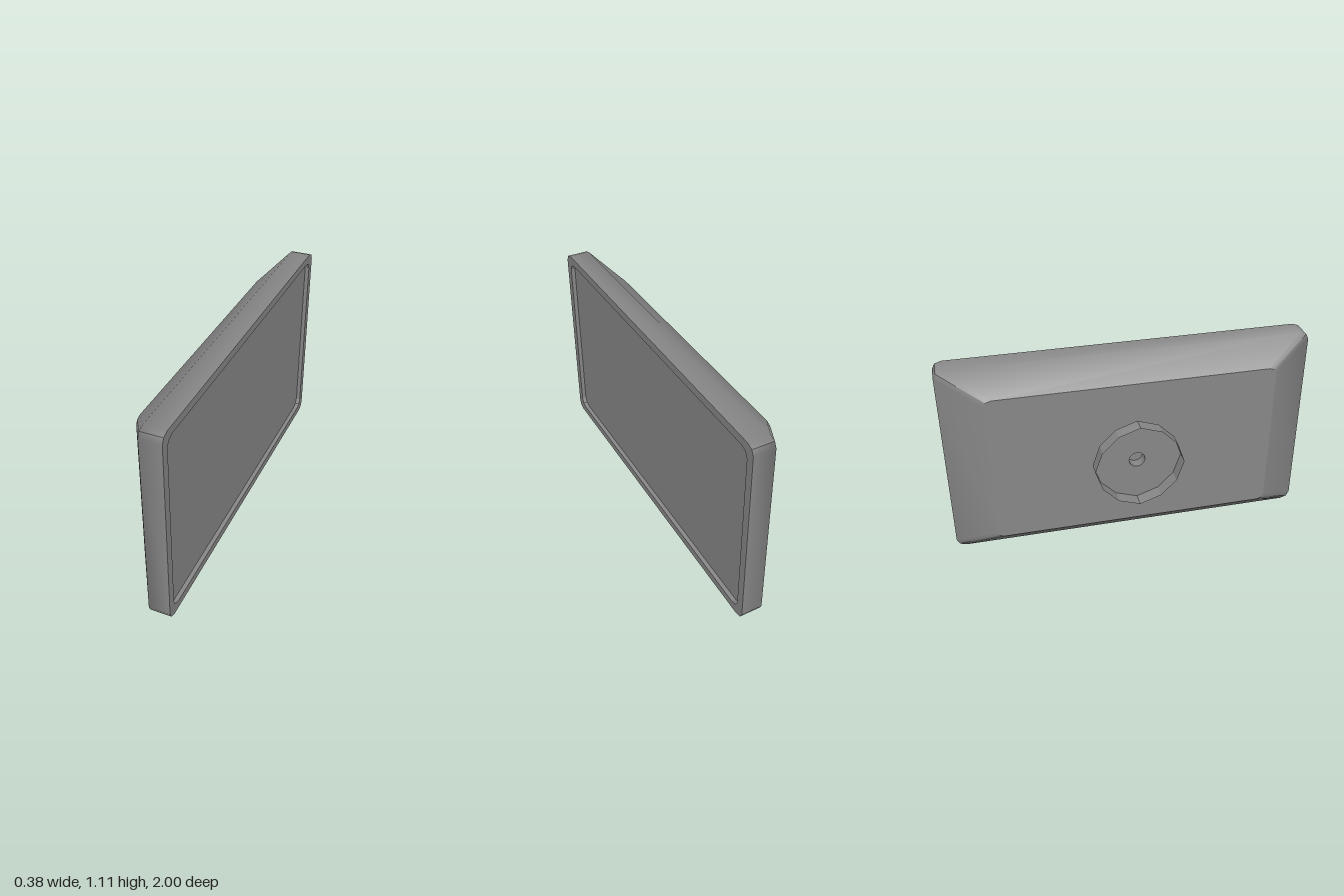
import * as THREE from 'three';

const CY = 0.555; // height of the centre line
const grey = (options = {}) => new THREE.MeshStandardMaterial({ color: 0x888888, ...options });

// Rounded rectangle in the z/y plane, counter-clockwise as seen from +x, three points per corner
function outline(halfZ, halfY, rz, ry) {
  const points = [];
  for (let c = 0; c < 4; c++) {
    const sz = c === 0 || c === 3 ? 1 : -1, sy = c < 2 ? 1 : -1;
    for (let k = 0; k < 3; k++) {
      const a = (c + k / 2) * Math.PI / 2;
      points.push([-(sz * (halfZ - rz) + rz * Math.cos(a)), sy * (halfY - ry) + ry * Math.sin(a)]);
    }
  }
  return points;
}

// Twelve-sided ring of the mount; every third corner may stand out further
function ring(axisRadius, radius) {
  return Array.from({ length: 12 }, (_, i) => {
    const a = i * Math.PI / 6, r = i % 3 ? radius : axisRadius;
    return [-r * Math.cos(a), 0.003 + r * Math.sin(a)];
  });
}

// Skin joining sections of the form { x, points, scale }
function loft(sections, closed = true) {
  const n = sections[0].points.length, positions = [], index = [];
  for (const { x, points, scale = 1 } of sections)
    for (const [z, y] of points) positions.push(x, CY + y * scale, z * scale);
  for (let s = 0; s < sections.length - 1; s++)
    for (let i = 0; i < (closed ? n : n - 1); i++) {
      const j = (i + 1) % n, a = s * n, b = a + n;
      index.push(a + i, a + j, b + j, a + i, b + j, b + i);
    }
  const geometry = new THREE.BufferGeometry();
  geometry.setAttribute('position', new THREE.Float32BufferAttribute(positions, 3));
  geometry.setIndex(index);
  geometry.computeVertexNormals();
  return geometry;
}

export function createModel() {
  const model = new THREE.Group();
  model.name = 'wallDisplay';
  const group = (name) => {
    const part = new THREE.Group();
    part.name = name;
    model.add(part);
    return part;
  };
  const add = (parent, name, geometry, material = grey()) => {
    const mesh = new THREE.Mesh(geometry, material);
    mesh.name = name;
    parent.add(mesh);
  };

  const outer = outline(1, 0.555, 0.05, 0.042);
  const inner = outline(0.954, 0.511, 0.05, 0.042);
  const back = -0.057, shoulder = 0.075, front = 0.19, glass = 0.167, taper = 0.775;

  // Housing: four smooth sides that meet in a crease at the middle of each corner
  const display = group('display');
  ['topSide', 'backSide', 'bottomSide', 'frontSide'].forEach((name, c) => {
    const points = [1, 2, 3, 4].map((k) => outer[(3 * c + k) % 12]);
    add(display, name, loft([
      { x: back, points, scale: taper },
      { x: shoulder, points },
      { x: front, points },
    ], false));
  });
  add(display, 'backPanel', loft([
    { x: back, points: outer, scale: 0 },
    { x: back, points: outer, scale: taper },
  ]));

  // Bezel, its inner step and the sunken screen
  add(display, 'bezel', loft([{ x: front, points: outer }, { x: front, points: inner }]));
  add(display, 'bezelStep', loft([{ x: front, points: inner }, { x: glass, points: inner }]),
    grey({ flatShading: true }));
  add(display, 'screen', loft([{ x: glass, points: inner }, { x: glass, points: inner, scale: 0 }]));

  // Wall mount: hollow rod and a faceted cup open to the back
  const mount = group('wallMount');
  const rod = ring(0.044, 0.044), cup = ring(0.242, 0.233);
  const cupBack = -0.19, cupFront = -0.114;
  const faceted = grey({ flatShading: true, side: THREE.DoubleSide });
  add(mount, 'mountRod', loft([{ x: cupFront, points: rod }, { x: back, points: rod }]),
    grey({ side: THREE.DoubleSide }));
  add(mount, 'mountCupWall', loft([{ x: cupBack, points: cup }, { x: cupFront, points: cup }]), faceted);
  add(mount, 'mountCupFloor', loft([{ x: cupFront, points: cup }, { x: cupFront, points: rod }]), faceted);

  return model;
}
